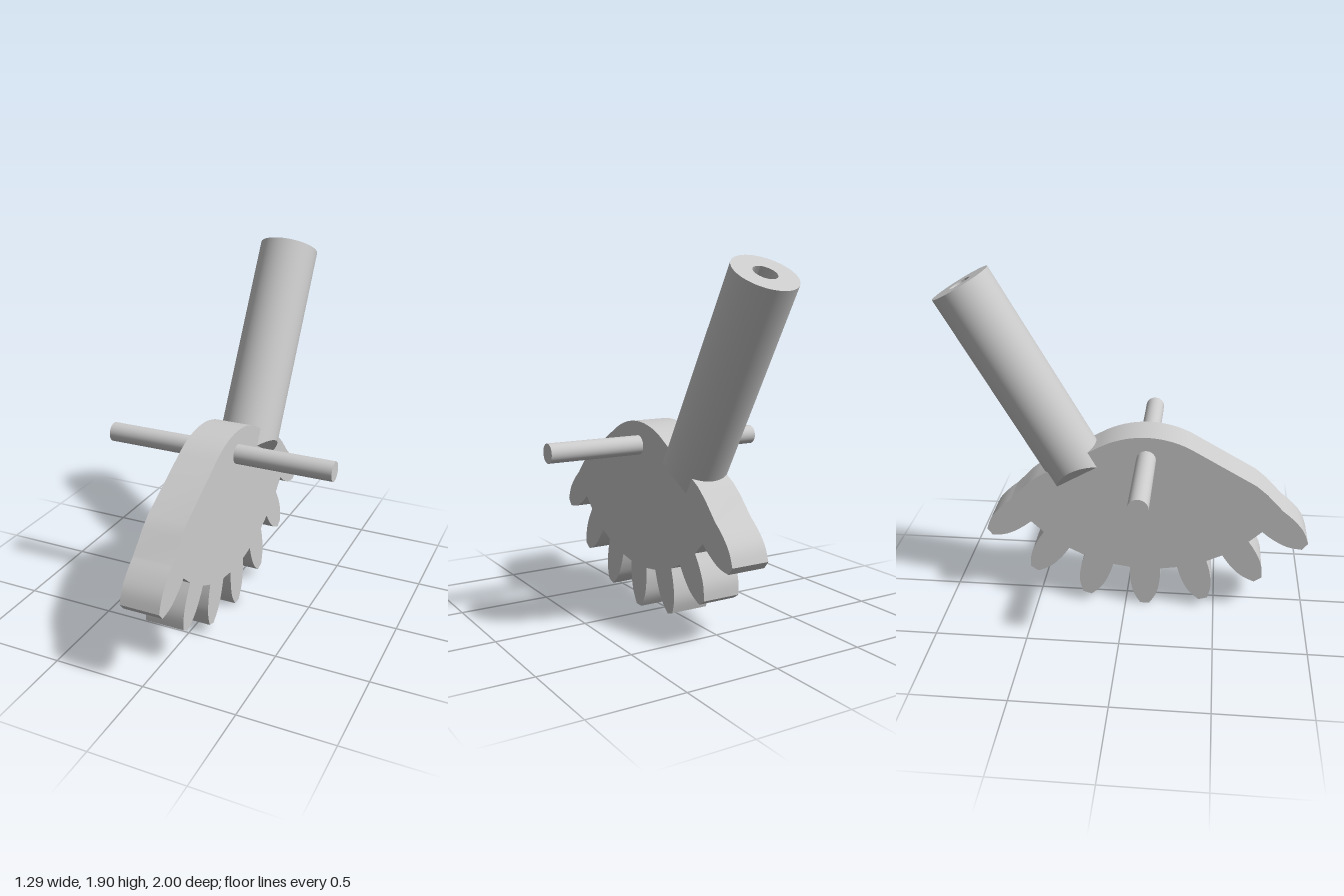
import * as THREE from 'three';
import { toCreasedNormals } from 'three/addons/utils/BufferGeometryUtils.js';

const PLATE_Z = 0.11;      // z of the sector's symmetry plane
const HALF = 0.107;        // half thickness of the sector
const GEAR_Y = 1.12;       // height of the gear centre
const PITCH = (2 * Math.PI) / 21;

// Toothed sector outline, drawn as (sideways offset, height)
function sectorShape() {
  // flank as (half width, radius) from root to tip
  const flank = new THREE.SplineCurve([
    [0.085, 0.885], [0.084, 0.95], [0.074, 1.02], [0.056, 1.07], [0.025, 1.12],
  ].map(([w, r]) => new THREE.Vector2(w, r))).getPoints(12);

  const pts = [];
  for (let i = -3; i <= 3; i++) {
    const s = Math.sin(i * PITCH), c = Math.cos(i * PITCH);
    const add = (w, r) => pts.push(new THREE.Vector2(s * r + c * w, GEAR_Y - c * r + s * w));
    flank.forEach((p) => add(-p.x, p.y));
    [...flank].reverse().forEach((p) => add(p.x, p.y));
  }

  // shoulders and rounded crown
  const shoulder = [[0.655, 0.73], [0.594, 0.781]];
  shoulder.forEach(([u, v]) => pts.push(new THREE.Vector2(u, v)));
  for (let i = 0; i <= 24; i++) {
    const a = Math.PI / 3 + (i / 24) * (Math.PI / 3);
    pts.push(new THREE.Vector2(0.515 * Math.cos(a), 0.525 + 0.515 * Math.sin(a)));
  }
  shoulder.reverse().forEach(([u, v]) => pts.push(new THREE.Vector2(-u, v)));
  return new THREE.Shape(pts);
}

export function createModel() {
  const model = new THREE.Group();
  model.name = 'gearSectorLever';
  const grey = new THREE.MeshStandardMaterial({ color: 0xcccccc });
  const mesh = (name, geometry, parent = model) => {
    const m = new THREE.Mesh(geometry, grey);
    m.name = name;
    parent.add(m);
    return m;
  };

  // Toothed sector plate
  const plate = new THREE.ExtrudeGeometry(sectorShape(), { depth: 2 * HALF, bevelEnabled: false });
  plate.translate(0, 0, -HALF).rotateY(Math.PI / 2);
  mesh('gearSector', toCreasedNormals(plate, 0.35)).position.z = PLATE_Z;

  // Pivot pins, one each side
  for (const side of [-1, 1]) {
    const pin = new THREE.CylinderGeometry(0.053, 0.053, 0.56, 40).rotateZ(Math.PI / 2);
    mesh(side > 0 ? 'leftPivotPin' : 'rightPivotPin', pin).position.set(side * 0.367, 0.91, PLATE_Z);
  }

  // Handle socket leaning backwards, straddling the plate
  const socket = new THREE.Group();
  socket.name = 'handleSocket';
  socket.position.set(0, 0.791, -0.265);
  socket.rotation.x = -Math.PI / 6;
  model.add(socket);

  // Tube wall with bore; its lower rim rises at 45 degrees beyond the plate
  const R = 0.166, BORE = 0.061, LENGTH = 1.188;
  const tube = new THREE.LatheGeometry(
    [[R, 0], [R, LENGTH], [BORE, LENGTH], [BORE, 0]].map(([x, y]) => new THREE.Vector2(x, y)), 96);
  const pos = tube.attributes.position;
  for (let i = 0; i < pos.count; i++) {
    if (pos.getY(i) < 0.001) pos.setY(i, Math.max(0, Math.abs(pos.getX(i)) - HALF));
  }
  mesh('tube', toCreasedNormals(tube, 0.6), socket);

  // Sloping end faces either side of the plate
  const a = Math.acos(HALF / R);
  for (const side of [-1, 1]) {
    const end = new THREE.ShapeGeometry(new THREE.Shape().absarc(0, 0, R, -a, a, false), 32);
    end.rotateX(Math.PI / 2);
    const p = end.attributes.position;
    for (let i = 0; i < p.count; i++) p.setY(i, p.getX(i) - HALF);
    end.computeVertexNormals();
    if (side < 0) end.rotateY(Math.PI);
    mesh(side > 0 ? 'leftTubeEnd' : 'rightTubeEnd', end, socket);
  }

  return model;
}
